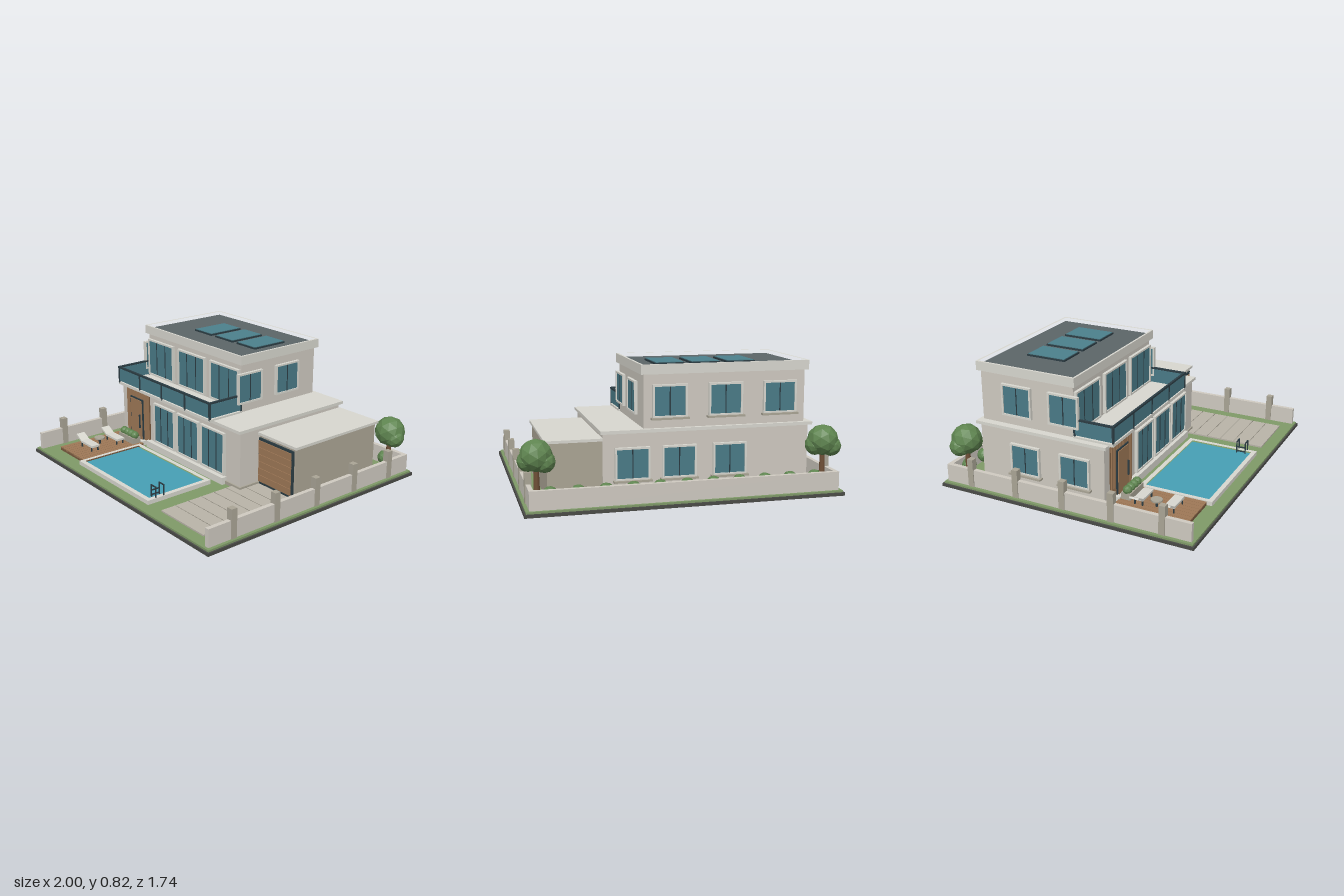
import * as THREE from 'three';

const mat = (color, flatShading = false) => {
  const m = new THREE.MeshStandardMaterial({ color });
  m.flatShading = flatShading;
  return m;
};
const M = {
  wall: mat(0xcfcac1), slab: mat(0xd8d7cf), garage: mat(0xaca595), post: mat(0xaaa596),
  glass: mat(0x4a7b88), dark: mat(0x2c3d44), roof: mat(0x5c6568), panel: mat(0x4c808c),
  wood: mat(0x9e7856), timber: mat(0x7a5a3e), grass: mat(0x7f9a68), base: mat(0x4a4b47),
  water: mat(0x469fb5), paving: mat(0xb9b4a8), groove: mat(0x8b867b),
  leaf: mat(0x5f8550, true), bark: mat(0x6f4f36),
};

export function createModel() {
  const model = new THREE.Group();

  const add = (parent, name, geo, m, x, y, z) => {
    const mesh = new THREE.Mesh(geo, m);
    mesh.name = name;
    mesh.position.set(x, y, z);
    parent.add(mesh);
    return mesh;
  };
  // Box given by its limits on each axis
  const box = (name, m, x0, x1, y0, y1, z0, z1, parent = model) =>
    add(parent, name, new THREE.BoxGeometry(x1 - x0, y1 - y0, z1 - z0), m,
      (x0 + x1) / 2, (y0 + y1) / 2, (z0 + z1) / 2);
  const group = (name, x = 0, y = 0, z = 0, turn = 0) => {
    const g = new THREE.Group();
    g.name = name;
    g.position.set(x, y, z);
    g.rotation.y = turn;
    model.add(g);
    return g;
  };
  // Horizontal slab with a rectangular opening, limits as [x0, x1, z0, z1]
  const ring = (name, m, o, i, y0, y1) => {
    const rect = (T, [a, b, c, d]) => new T([[a, -c], [b, -c], [b, -d], [a, -d]].map(p => new THREE.Vector2(...p)));
    const s = rect(THREE.Shape, o);
    s.holes.push(rect(THREE.Path, i));
    const geo = new THREE.ExtrudeGeometry(s, { depth: y1 - y0, bevelEnabled: false });
    geo.rotateX(-Math.PI / 2);
    return add(model, name, geo, m, 0, y0, 0);
  };

  // Plot
  box('baseSlab', M.base, -0.98, 0.98, 0, 0.02, -0.87, 0.87);
  box('lawn', M.grass, -0.97, 0.97, 0.02, 0.032, -0.86, 0.86);

  // Boundary walls
  for (const s of [-1, 1]) {
    add(model, 'sideFence', new THREE.BoxGeometry(0.028, 0.115, 1.686), M.wall, s * 0.935, 0.0895, 0);
    for (let i = -2; i <= 2; i++)
      add(model, 'fencePost', new THREE.BoxGeometry(0.04, 0.186, 0.04), M.post, s * 0.935, 0.125, i * 0.33);
  }
  box('backFence', M.wall, -0.94, 0.94, 0.032, 0.147, -0.843, -0.815);

  // Ground floor
  box('plinth', M.post, -0.825, 0.5, 0.03, 0.055, -0.665, 0.23);
  box('groundFloor', M.wall, -0.815, 0.49, 0.03, 0.417, -0.655, 0.22);
  box('groundRoof', M.slab, -0.835, 0.505, 0.417, 0.437, -0.68, 0.24);
  box('frontStep', M.slab, -0.49, 0.355, 0.03, 0.08, 0.22, 0.255);

  // Upper floor with parapet roof
  box('upperFloor', M.wall, -0.785, 0.24, 0.437, 0.77, -0.655, 0);
  ring('parapet', M.slab, [-0.805, 0.26, -0.675, 0.02], [-0.79, 0.245, -0.662, 0.007], 0.763, 0.822);
  box('roof', M.roof, -0.792, 0.247, 0.764, 0.797, -0.664, 0.009);
  for (const x of [-0.428, -0.198, 0.032]) {
    box('skylightFrame', M.dark, x - 0.093, x + 0.093, 0.795, 0.808, -0.486, -0.214);
    box('skylight', M.panel, x - 0.087, x + 0.087, 0.8, 0.812, -0.48, -0.22);
  }

  // Window facing local +z, centred on its group
  const windowUnit = (x, y, z, w, h, turn, panes, sill) => {
    const g = group('window', x, y, z, turn), t = 0.012, a = w / 2, b = h / 2;
    for (const s of [-1, 1]) {
      add(g, 'frameSide', new THREE.BoxGeometry(t, h, 0.022), M.slab, s * (a - t / 2), 0, 0.009);
      add(g, 'frameEnd', new THREE.BoxGeometry(w, t, 0.022), M.slab, 0, s * (b - t / 2), 0.009);
    }
    add(g, 'glass', new THREE.BoxGeometry(w - t, h - t, 0.014), M.glass, 0, 0, 0.006);
    for (let i = 1; i < panes; i++)
      add(g, 'mullion', new THREE.BoxGeometry(0.006, h - 2 * t, 0.016), M.dark, -a + w * i / panes, 0, 0.008);
    if (sill) add(g, 'sill', new THREE.BoxGeometry(w + 0.02, 0.012, 0.04), M.post, 0, -b - 0.004, 0.015);
  };
  for (const x of [-0.297, -0.032, 0.23]) windowUnit(x, 0.233, 0.22, 0.24, 0.288, 0, 3, false);
  for (const x of [-0.628, -0.272, 0.08]) windowUnit(x, 0.592, 0, 0.3, 0.266, 0, 3, false);
  for (const x of [-0.62, -0.27, 0.08]) windowUnit(x, 0.6, -0.655, 0.215, 0.2, Math.PI, 2, true);
  for (const x of [-0.3, 0.02, 0.31]) windowUnit(x, 0.23, -0.655, 0.215, 0.2, Math.PI, 2, true);
  for (const z of [-0.395, -0.065]) {
    windowUnit(0.24, 0.6, z, 0.21, 0.206, Math.PI / 2, 2, false);
    windowUnit(-0.785, 0.6, z, 0.21, 0.206, -Math.PI / 2, 2, false);
  }
  for (const z of [-0.33, 0.02]) windowUnit(-0.815, 0.23, z, 0.21, 0.2, -Math.PI / 2, 2, true);

  // Entrance: slatted cladding and door
  box('entranceCladding', M.timber, -0.75, -0.48, 0.05, 0.416, 0.218, 0.228);
  for (let i = 0; i < 14; i++)
    box('claddingSlat', M.wood, -0.748 + i * 0.0193, -0.734 + i * 0.0193, 0.05, 0.416, 0.225, 0.235);
  box('doorFrame', M.dark, -0.693, -0.542, 0.055, 0.362, 0.225, 0.242);
  box('door', M.wood, -0.682, -0.553, 0.055, 0.352, 0.23, 0.248);
  box('doorHandle', M.dark, -0.572, -0.565, 0.15, 0.25, 0.245, 0.258);
  box('doorStep', M.slab, -0.72, -0.52, 0.03, 0.065, 0.22, 0.27);

  // Balcony with glass railing
  box('balconyFloor', M.slab, -0.795, 0.25, 0.43, 0.449, 0, 0.272);
  const postX = [-0.787, -0.53, -0.272, -0.014, 0.243];
  postX.forEach((x, i) => {
    box('railPost', M.dark, x - 0.006, x + 0.006, 0.44, 0.56, 0.26, 0.272);
    if (i) box('railGlass', M.glass, postX[i - 1] + 0.008, x - 0.008, 0.455, 0.547, 0.263, 0.269);
  });
  box('frontRail', M.dark, -0.793, 0.249, 0.55, 0.562, 0.259, 0.274);
  for (const x of [postX[0], postX[4]]) {
    box('sideRail', M.dark, x - 0.007, x + 0.007, 0.55, 0.562, 0, 0.272);
    box('sideRailGlass', M.glass, x - 0.003, x + 0.003, 0.455, 0.547, 0.012, 0.26);
    box('sideRailPost', M.dark, x - 0.006, x + 0.006, 0.44, 0.56, 0, 0.012);
  }

  // Garage with slatted door
  box('garage', M.garage, 0.48, 0.82, 0.03, 0.377, -0.65, 0.058);
  box('garageRoof', M.slab, 0.49, 0.835, 0.375, 0.392, -0.665, 0.075);
  box('garageDoorFrame', M.dark, 0.492, 0.805, 0.035, 0.355, 0.05, 0.068);
  for (let i = 0; i < 6; i++)
    box('garageDoorSlat', M.wood, 0.497, 0.79, 0.06 + i * 0.047, 0.104 + i * 0.047, 0.06, 0.074);

  // Driveway
  box('driveway', M.paving, 0.42, 0.825, 0.03, 0.042, 0.06, 0.78);
  for (let i = 1; i < 7; i++)
    box('drivewayJoint', M.groove, 0.42, 0.825, 0.04, 0.0428, 0.074 + i * 0.1, 0.078 + i * 0.1);

  // Pool and ladder
  ring('poolRim', M.slab, [-0.51, 0.295, 0.3, 0.79], [-0.483, 0.265, 0.33, 0.76], 0.03, 0.06);
  box('poolWater', M.water, -0.484, 0.266, 0.03, 0.05, 0.329, 0.761);
  const ladder = group('poolLadder');
  for (const z of [0.665, 0.725]) {
    box('ladderPost', M.dark, 0.284, 0.291, 0.05, 0.133, z - 0.0035, z + 0.0035, ladder);
    box('ladderTop', M.dark, 0.237, 0.291, 0.126, 0.133, z - 0.0035, z + 0.0035, ladder);
    box('ladderLeg', M.dark, 0.237, 0.244, 0.045, 0.133, z - 0.0035, z + 0.0035, ladder);
  }
  for (const y of [0.06, 0.09]) box('ladderRung', M.dark, 0.237, 0.244, y, y + 0.007, 0.665, 0.725, ladder);

  // Timber deck
  box('deckBase', M.timber, -0.825, -0.512, 0.03, 0.05, 0.265, 0.755);
  for (let i = 0; i < 9; i++)
    box('deckPlank', M.wood, -0.825 + i * 0.035, -0.793 + i * 0.035, 0.045, 0.056, 0.265, 0.755);

  // Sun loungers
  for (const z of [0.405, 0.61]) {
    const g = group('lounger', -0.69, 0.056, z);
    box('loungerSeat', M.slab, -0.045, 0.1, 0.03, 0.045, -0.031, 0.031, g);
    const back = add(g, 'loungerBack', new THREE.BoxGeometry(0.07, 0.012, 0.062), M.slab, -0.072, 0.056, 0);
    back.rotation.z = -0.5;
    for (const x of [-0.04, 0.085]) for (const s of [-1, 1])
      box('loungerLeg', M.dark, x - 0.004, x + 0.004, 0, 0.031, s * 0.025 - 0.004, s * 0.025 + 0.004, g);
  }
  add(model, 'tableTop', new THREE.CylinderGeometry(0.037, 0.037, 0.01, 16), M.post, -0.7, 0.1, 0.51);
  add(model, 'tableLeg', new THREE.CylinderGeometry(0.008, 0.008, 0.045, 8), M.dark, -0.7, 0.076, 0.51);

  // Foliage: planter, hedge and corner trees
  const bush = (name, x, y, z, r, parent = model) => {
    const b = add(parent, name, new THREE.IcosahedronGeometry(r, 1), M.leaf, x, y, z);
    b.rotation.y = x * 9;
    return b;
  };
  box('planter', M.post, -0.71, -0.535, 0.05, 0.1, 0.275, 0.34);
  for (let i = 0; i < 4; i++) bush('planterBush', -0.686 + i * 0.043, 0.112, 0.307, 0.03);
  for (let i = -5; i <= 5; i++) bush('hedgeBush', i * 0.164, 0.105, -0.77, 0.048);
  for (const s of [-1, 1]) {
    const tree = group('tree', s * 0.89, 0, -0.72);
    add(tree, 'trunk', new THREE.CylinderGeometry(0.015, 0.022, 0.22, 8), M.bark, 0, 0.14, 0);
    bush('crown', 0, 0.325, 0, 0.098, tree);
    bush('sideCrown', -0.045, 0.29, -0.02, 0.066, tree);
    bush('sideCrown', 0.045, 0.295, 0.01, 0.066, tree);
  }
  return model;
}
